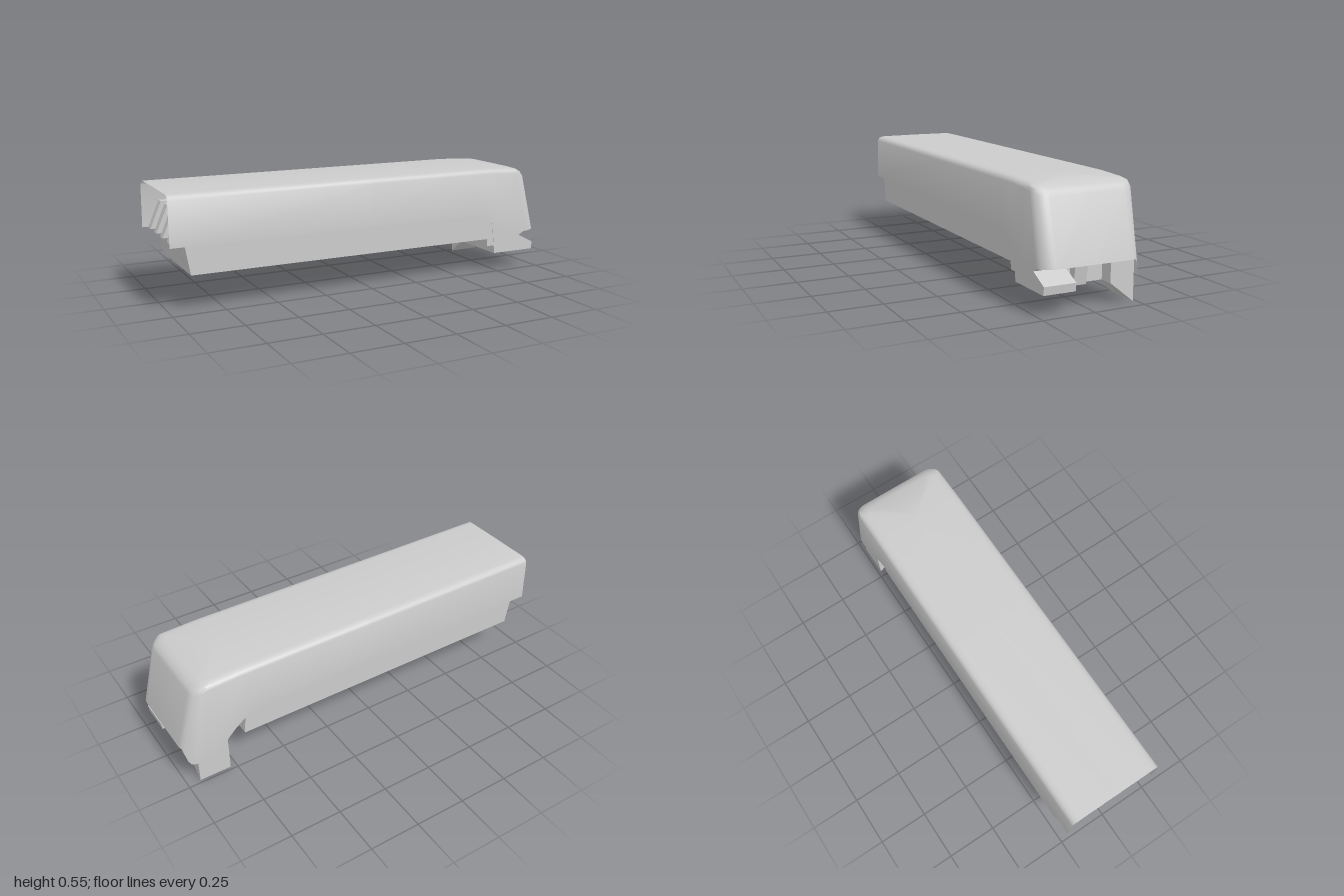
import * as THREE from 'three';
import { toCreasedNormals } from 'three/addons/utils/BufferGeometryUtils.js';

const grey = new THREE.MeshStandardMaterial({ color: 0xcccccc });
const greyThin = new THREE.MeshStandardMaterial({ color: 0xcccccc, side: THREE.DoubleSide });

// piecewise linear lookup through [x, y] points
function lookup(pts, x) {
  if (x <= pts[0][0]) return pts[0][1];
  for (let i = 1; i < pts.length; i++) {
    const [a, ya] = pts[i - 1], [b, yb] = pts[i];
    if (x <= b) return ya + (yb - ya) * (x - a) / (b - a);
  }
  return pts[pts.length - 1][1];
}

// U-shaped plan outline: front side, rounded corners, end wall, back side
function outline(halfW, endX, r) {
  const half = [-1, 0, 0.4, 0.56, 0.61, 0.66, 0.7, 0.74, 0.78, 0.82, 0.86]
    .map((x) => [Math.min(x, endX - r), halfW]);
  for (let i = 0; i <= 8; i++) {
    const a = (i / 8) * Math.PI / 2;
    half.push([endX - r + r * Math.sin(a), halfW - r + r * Math.cos(a)]);
  }
  half.push([endX, 0]);
  return half.concat(half.slice(0, -1).reverse().map(([x, z]) => [x, -z]));
}

// cover: lower hem, walls, rounded shoulder and gently falling roof
function coverGeometry() {
  const frontHem = [[0.56, 0.31], [0.64, 0.298], [0.7, 0.268], [0.76, 0.23], [0.82, 0.203], [0.88, 0.195], [1, 0.205]];
  const backHem = [[0.6, 0.31], [0.66, 0.29], [0.72, 0.255], [0.78, 0.195], [0.84, 0.143], [0.9, 0.12], [1, 0.12]];
  const hem = (x, z) => {
    if (z > 0) return lookup(frontHem, x);
    const t = THREE.MathUtils.smoothstep(-z, 0.2, 0.236);
    return 0.205 + (lookup(backHem, x) - 0.205) * t;
  };
  const roof = (drop) => (x) => lookup([[0.68, 0.545 - drop], [0.87, 0.537 - drop], [0.93, 0.505]], x);
  const levels = [
    [0.246, 1, 0.07, hem],
    [0.241, 0.924, 0.06, (x) => lookup([[0.7, 0.52], [0.86, 0.51], [0.925, 0.49]], x)],
    [0.234, 0.912, 0.06, roof(0.011)],
    [0.222, 0.89, 0.06, roof(0.003)],
    [0.2, 0.865, 0.05, roof(0)],
    [0, 0.7, 0, () => 0.546],
  ];
  const pos = [], idx = [];
  const n = outline(1, 1, 0.1).length;
  levels.forEach(([w, e, r, y], k) => {
    for (const [x, z] of outline(w, e, r)) pos.push(x, y(x, z), z);
    if (!k) return;
    for (let i = 0; i < n - 1; i++) {
      const a = (k - 1) * n + i, b = k * n + i;
      idx.push(a, a + 1, b + 1, a, b + 1, b);
    }
  });
  const g = new THREE.BufferGeometry();
  g.setAttribute('position', new THREE.Float32BufferAttribute(pos, 3));
  g.setIndex(idx);
  return toCreasedNormals(g, 0.6);
}

// flat profile pushed out between two depths
function slab(points, from, to) {
  const shape = new THREE.Shape(points.map(([x, y]) => new THREE.Vector2(x, y)));
  const g = new THREE.ExtrudeGeometry(shape, { depth: to - from, bevelEnabled: false });
  return g.translate(0, 0, from);
}

export function createModel() {
  const model = new THREE.Group();
  const add = (name, geometry, material = grey) => {
    const mesh = new THREE.Mesh(geometry, material);
    mesh.name = name;
    model.add(mesh);
    return mesh;
  };

  add('cover', coverGeometry(), greyThin);

  // body under the cover, stepped and sloped at its open end
  add('lowerBody', slab([[-0.905, 0.175], [0.69, 0.175], [0.68, 0.29], [0.66, 0.42],
    [-0.84, 0.42], [-0.93, 0.315]], -0.234, 0.234));

  // leaning ribs in the open end
  for (let i = 0; i < 4; i++) {
    const z = -0.165 + i * 0.11;
    add('endRib', slab([[-0.985, 0.32], [-0.85, 0.32], [-0.85, 0.45], [-0.93, 0.45]], z - 0.022, z + 0.022));
  }

  // short tab between the body and the latch
  add('tab', slab([[0.69, 0.137], [0.74, 0.137], [0.74, 0.28], [0.677, 0.28]], 0.08, 0.234));

  // latch block with a notched nose, and its recessed middle
  add('latchNose', slab([[0.735, 0.095], [0.975, 0.095], [0.98, 0.133], [0.89, 0.178],
    [0.95, 0.21], [0.9, 0.28], [0.715, 0.28]], 0.082, 0.236));
  add('latchMiddle', slab([[0.735, 0.095], [0.87, 0.095], [0.87, 0.26], [0.715, 0.26]], -0.115, 0.082));
  add('latchRib', slab([[0.86, 0.095], [0.9, 0.095], [0.92, 0.22], [0.86, 0.22]], -0.015, 0.047));

  // wedge foot at the back, profile in depth and height
  const wedge = slab([[0.115, 0.095], [0.234, 0], [0.234, 0.24], [0.115, 0.24]], 0.78, 0.937);
  add('wedgeFoot', wedge.rotateY(Math.PI / 2));

  return model;
}
